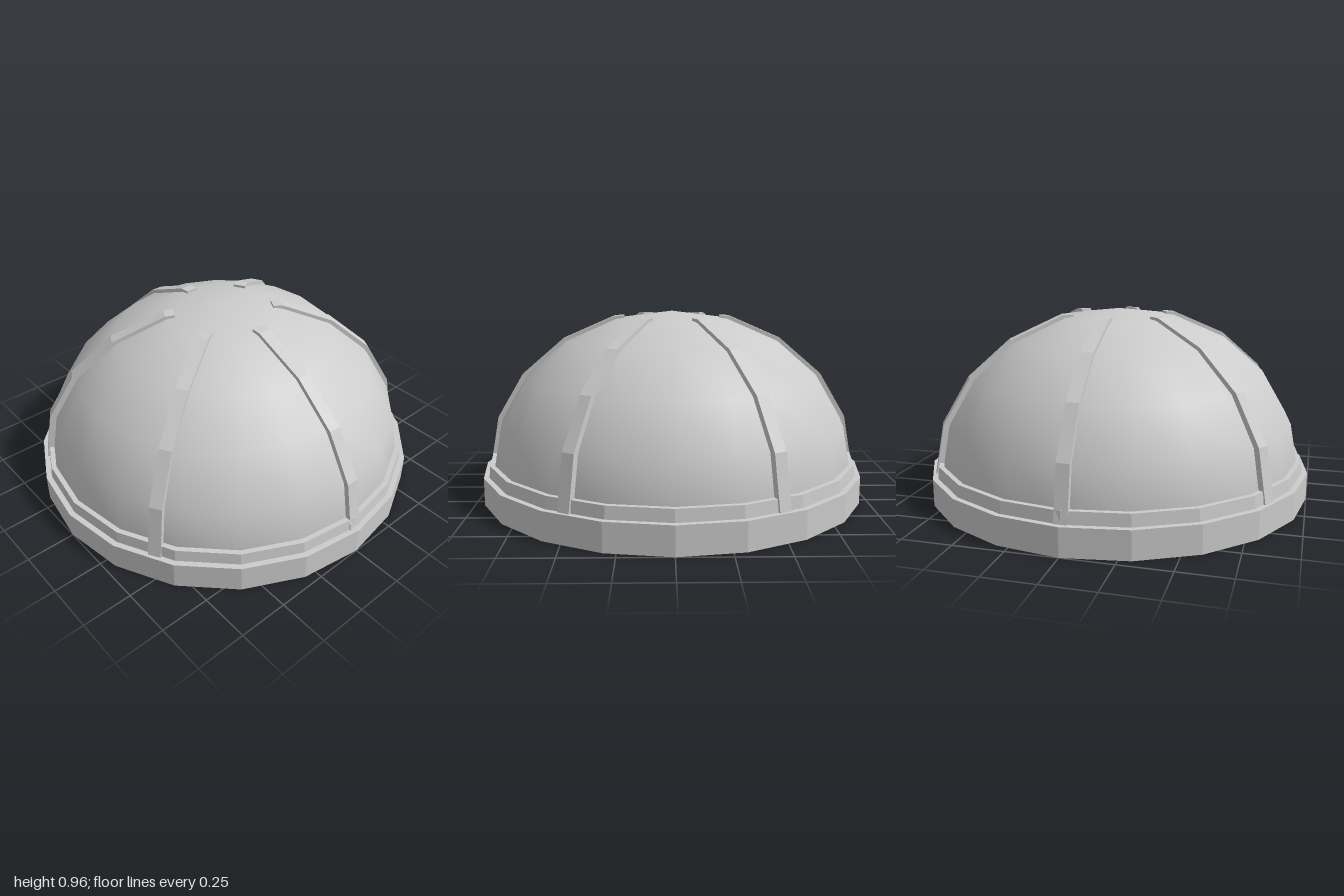
import * as THREE from 'three';

const SIDES = 20;
const BASE = 0.14; // height of the dome's springing line

export function createModel() {
  const group = new THREE.Group();
  const smooth = new THREE.MeshStandardMaterial({ color: 0xcccccc });
  const flat = new THREE.MeshStandardMaterial({ color: 0xcccccc, flatShading: true });
  const add = (name, geometry, material, parent = group) => {
    const mesh = new THREE.Mesh(geometry, material);
    mesh.name = name;
    parent.add(mesh);
    return mesh;
  };

  // Smooth dome shell, slightly flattened
  const shell = new THREE.SphereGeometry(1, SIDES, 5, 0, Math.PI * 2, 0, Math.PI / 2);
  shell.scale(0.952, 0.82, 0.952);
  shell.translate(0, BASE, 0);
  add('domeShell', shell, smooth);

  // Stepped rim: outer band with a narrow lip around the dome
  const rimProfile = [
    [0.97, 0], [1, 0], [1, BASE], [0.972, BASE], [0.966, 0.2],
    [0.935, 0.2], [0.935, 0.1], [0.97, 0.1], [0.97, 0],
  ].map(([r, y]) => new THREE.Vector2(r, y));
  add('baseRim', new THREE.LatheGeometry(rimProfile, SIDES), flat);

  // Six ribs, each following the dome's segmented curve
  const arc = (a, h) => [0, 1, 2, 3, 4].map((i) => {
    const t = (i * Math.PI) / 10;
    return new THREE.Vector2(a * Math.cos(t), BASE + h * Math.sin(t));
  });
  const outline = [
    ...arc(0.973, 0.836),
    new THREE.Vector2(0.25, 0.938),
    new THREE.Vector2(0.25, 0.89),
    ...arc(0.91, 0.785).reverse(),
  ];
  const ribWidth = 0.064;
  const rib = new THREE.ExtrudeGeometry(new THREE.Shape(outline), { depth: ribWidth, bevelEnabled: false });
  rib.translate(0, 0, -ribWidth / 2);
  const ribs = new THREE.Group();
  ribs.name = 'ribs';
  group.add(ribs);
  for (let i = 0; i < 6; i++) {
    add('rib', rib, flat, ribs).rotation.y = (i * Math.PI) / 3;
  }

  // Recessed floor panel closing the underside
  const floor = new THREE.CylinderGeometry(0.97, 0.97, 0.01, SIDES);
  floor.translate(0, 0.105, 0);
  add('floorPanel', floor, flat);

  // Thin lattice bars crossing under the floor
  const lattice = new THREE.Group();
  lattice.name = 'floorLattice';
  group.add(lattice);
  for (const offset of [-0.75, -0.25, 0.25, 0.75]) {
    const length = 2 * Math.sqrt(0.95 ** 2 - offset ** 2);
    const bar = new THREE.BoxGeometry(length, 0.012, 0.012);
    add('latticeBar', bar, flat, lattice).position.set(0, 0.096, offset);
    const cross = add('latticeBar', bar, flat, lattice);
    cross.position.set(offset, 0.096, 0);
    cross.rotation.y = Math.PI / 2;
  }

  return group;
}
